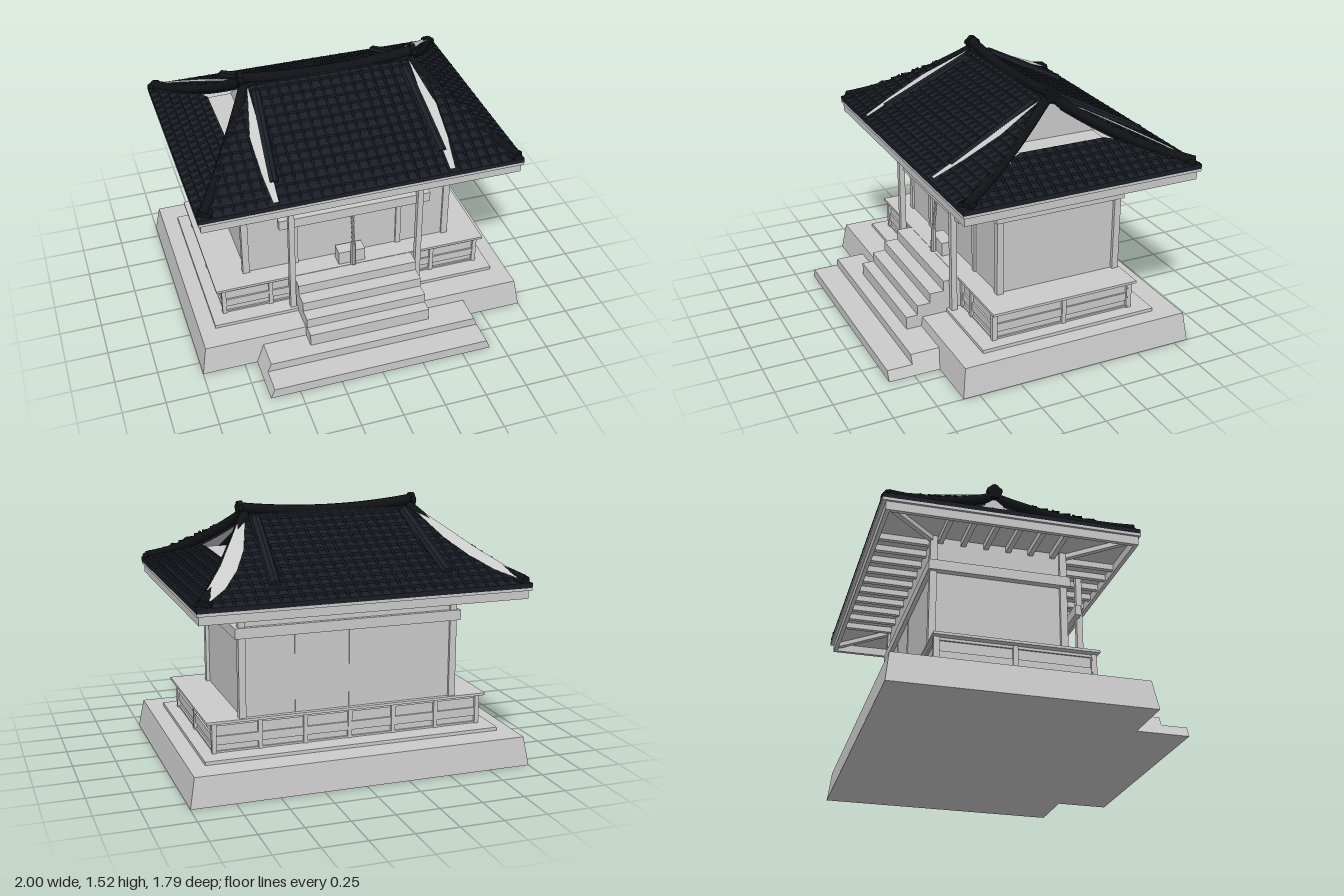
import * as THREE from 'three';
import { mergeGeometries } from 'three/addons/utils/BufferGeometryUtils.js';

const grey = new THREE.MeshStandardMaterial({ color: 0xcccccc, side: THREE.DoubleSide, flatShading: true });
const tile = new THREE.MeshStandardMaterial({ color: 0x1a1e26, side: THREE.DoubleSide, flatShading: true });
const dark = new THREE.MeshStandardMaterial({ color: 0x101215 });
const V = (x, y, z) => new THREE.Vector3(x, y, z);

// Box given by its limits on each axis
function box(x0, x1, y0, y1, z0, z1) {
  return new THREE.BoxGeometry(x1 - x0, y1 - y0, z1 - z0)
    .translate((x0 + x1) / 2, (y0 + y1) / 2, (z0 + z1) / 2);
}
// Round bar between two points
function bar(a, b, r, sides = 8) {
  const dir = b.clone().sub(a);
  const q = new THREE.Quaternion().setFromUnitVectors(V(0, 1, 0), dir.clone().normalize());
  const mid = a.clone().add(b).multiplyScalar(0.5);
  return new THREE.CylinderGeometry(r, r, dir.length(), sides).applyQuaternion(q).translate(mid.x, mid.y, mid.z);
}
// Flat polygons, each fanned from its first corner
function polys(list) {
  const p = [];
  for (const c of list)
    for (let i = 1; i < c.length - 1; i++) for (const v of [c[0], c[i], c[i + 1]]) p.push(v.x, v.y, v.z);
  const g = new THREE.BufferGeometry();
  g.setAttribute('position', new THREE.Float32BufferAttribute(p, 3));
  g.computeVertexNormals();
  return g;
}
function add(parent, name, geos, mat = grey) {
  const m = new THREE.Mesh(Array.isArray(geos) ? mergeGeometries(geos) : geos, mat);
  m.name = name;
  parent.add(m);
}

function addBase(g) {
  // Plinth with battered sides
  const plinth = box(-1, 1, 0, 0.17, -0.84, 0.595);
  const p = plinth.attributes.position;
  for (let i = 0; i < p.count; i++) if (p.getY(i) > 0.1) {
    p.setX(i, p.getX(i) * 0.97);
    p.setZ(i, p.getZ(i) > 0 ? 0.57 : -0.82);
  }
  add(g, 'plinth', plinth);
  add(g, 'plinthSlab', box(-0.875, 0.875, 0.17, 0.19, -0.67, 0.42));

  // Wide lower steps with sloping ends
  const prof = new THREE.Shape([[-0.55, 0], [-0.9, 0], [-0.9, 0.06], [-0.75, 0.06], [-0.75, 0.113], [-0.55, 0.113]]
    .map(a => new THREE.Vector2(...a)));
  const wide = new THREE.ExtrudeGeometry(prof, { depth: 1.35, bevelEnabled: false })
    .rotateY(Math.PI / 2).translate(-0.675, 0, 0);
  const w = wide.attributes.position;
  for (let i = 0; i < w.count; i++) w.setX(i, w.getX(i) * (1 - 0.6 * w.getY(i)));
  wide.computeVertexNormals();
  add(g, 'lowerSteps', wide);

  // Upper stair
  add(g, 'stair', [[0.67, 0.19], [0.6, 0.25], [0.52, 0.31], [0.435, 0.372]]
    .map(([z, y]) => box(-0.368, 0.368, 0.1, y, 0.2, z)));
}

function addDeck(g) {
  add(g, 'deckFloor', box(-0.84, 0.84, 0.36, 0.375, -0.572, 0.34));
  add(g, 'deckCore', box(-0.79, 0.79, 0.19, 0.365, -0.545, 0.315));
  const frame = [];
  for (const [y0, y1] of [[0.19, 0.2], [0.235, 0.285], [0.345, 0.36]])
    frame.push(box(-0.8, 0.8, y0, y1, -0.555, 0.325));
  for (const x of [-0.795, -0.51, -0.385, 0.385, 0.51, 0.795])
    frame.push(box(x - 0.012, x + 0.012, 0.19, 0.36, 0.3, 0.332));
  for (let i = 0; i < 7; i++) {
    const x = -0.795 + i * 1.59 / 6;
    frame.push(box(x - 0.012, x + 0.012, 0.19, 0.36, -0.562, -0.53));
  }
  for (const s of [-1, 1]) for (const z of [-0.55, -0.12, 0.318])
    frame.push(box(s * 0.795 - 0.013, s * 0.795 + 0.013, 0.19, 0.36, z - 0.013, z + 0.013));
  add(g, 'deckFrame', frame);
}

function addHall(g) {
  add(g, 'walls', box(-0.63, 0.63, 0.37, 1.06, -0.545, 0.215));
  const posts = [];
  for (const x of [-0.63, 0.63]) for (const z of [-0.54, 0.208])
    posts.push(box(x - 0.02, x + 0.02, 0.37, 1.06, z - 0.02, z + 0.02));
  for (const x of [-0.325, 0.325]) posts.push(box(x - 0.016, x + 0.016, 0.37, 1.06, 0.2, 0.228));
  add(g, 'wallPosts', posts);
  add(g, 'wallSeams', [0, 0.32].map(x => box(x - 0.004, x + 0.004, 0.37, 0.83, -0.55, -0.54)));
  add(g, 'tieBeam', box(-0.67, 0.67, 0.83, 0.89, -0.57, 0.242));

  // Porch
  add(g, 'porchPosts', [-1, 1].map(s => box(s * 0.392 - 0.017, s * 0.392 + 0.017, 0.19, 1.06, 0.367, 0.402)));
  add(g, 'porchBeam', box(-0.46, 0.46, 0.77, 0.83, 0.342, 0.378));
  add(g, 'offeringBox', box(-0.082, 0.082, 0.37, 0.46, 0.24, 0.32));

  // Bells, bracket and twisted rope
  add(g, 'bells', [-0.035, 0.035].map(x => new THREE.SphereGeometry(0.031, 16, 10).translate(x, 0.995, 0.283)));
  add(g, 'bellBracket', bar(V(0, 0.89, 0.235), V(0, 1.02, 0.285), 0.005));
  const strands = [0, Math.PI].map(ph => {
    const pts = [];
    for (let i = 0; i <= 90; i++) {
      const t = i / 90, a = t * Math.PI * 14 + ph;
      pts.push(V(0.005 * Math.cos(a), 0.99 - 0.48 * t, 0.29 + 0.05 * t + 0.005 * Math.sin(a)));
    }
    return new THREE.TubeGeometry(new THREE.CatmullRomCurve3(pts), 130, 0.0065, 6);
  });
  add(g, 'bellRope', strands);
  add(g, 'ropeTassel', bar(V(0, 0.53, 0.338), V(0, 0.38, 0.343), 0.016, 10));
}

// Roof slopes share a local frame: x across, z down the slope, t from ridge (0) to eave (1)
const mainSlope = {
  t0: 0, rows: 13, half: t => 0.5 + 0.45 * t,
  at: (x, t, lift = 0) => V(x, 1.44 - 0.365 * t + lift, 0.725 * t)
};
const sideSlope = {
  t0: 0.36, rows: 6, half: t => 0.725 * t,
  at: (x, t, lift = 0) => V(x, 1.075 + 0.235 * (1 - t) + lift, 0.5 + 0.45 * t)
};

function addSlope(g, s, angle, name, patch) {
  const slope = new THREE.Group();
  slope.name = name;
  slope.rotation.y = angle;
  g.add(slope);
  const row = (t0, t1, l0, l1) => [s.at(-s.half(t0), t0, l0), s.at(-s.half(t1), t1, l1),
    s.at(s.half(t1), t1, l1), s.at(s.half(t0), t0, l0)];
  add(slope, 'roofBoards', polys([row(s.t0, 1, -0.01, -0.01)]));
  // Overlapping tile courses with a lip at each lower edge
  const courses = [], dt = (1 - s.t0) / s.rows;
  for (let i = 0; i < s.rows; i++) {
    const a = s.t0 + i * dt, b = a + dt, w = s.half(b);
    courses.push(row(a, b, 0.002, 0.018),
      [s.at(-w, b, 0.018), s.at(-w, b, -0.01), s.at(w, b, -0.01), s.at(w, b, 0.018)]);
  }
  add(slope, 'tileCourses', polys(courses), tile);
  // Low ribs between the tile columns, cut off at the hips
  const ribs = [];
  for (let k = -15; k <= 15; k++) {
    const x = k * 0.062;
    let t = s.t0 + 0.03;
    while (t < 1 && s.half(t) < Math.abs(x)) t += 0.01;
    if (t < 0.97) ribs.push(bar(s.at(x, t, 0.011), s.at(x, 0.995, 0.011), 0.009, 6));
  }
  add(slope, 'tileRibs', ribs, tile);
  // Bare boards showing beside the hips
  if (patch) add(slope, 'bareBoards', polys([1, -1].flatMap(m =>
    patch.map(c => c.map(([x, t]) => s.at(m * x, t, 0.025))))));
}

function addRoof(g) {
  const roof = new THREE.Group();
  roof.name = 'roof';
  roof.position.z = -0.16;
  g.add(roof);
  addSlope(roof, mainSlope, 0, 'frontSlope',
    [[[0.485, 0.03], [0.515, 0.3], [0.555, 0.45], [0.55, 0.75], [0.53, 0.98], [0.5, 0.98], [0.49, 0.6]]]);
  addSlope(roof, mainSlope, Math.PI, 'backSlope',
    [[[0.5, 0.06], [0.59, 0.45], [0.75, 0.6], [0.53, 0.06]],
      [[0.59, 0.45], [0.67, 0.66], [0.85, 0.8], [0.75, 0.6]],
      [[0.67, 0.66], [0.77, 0.84], [0.87, 0.95], [0.92, 0.95], [0.85, 0.8]]]);
  addSlope(roof, sideSlope, Math.PI / 2, 'rightSlope');
  addSlope(roof, sideSlope, -Math.PI / 2, 'leftSlope');

  // Main ridge, sagging between upturned ends
  const ridge = new THREE.QuadraticBezierCurve3(V(-0.53, 1.482, 0), V(0, 1.41, 0), V(0.53, 1.482, 0));
  add(roof, 'ridge', new THREE.TubeGeometry(ridge, 24, 0.03, 10), dark);
  add(roof, 'ridgeBed', box(-0.5, 0.5, 1.41, 1.445, -0.03, 0.03), tile);

  for (const s of [-1, 1]) {
    // Ridge end ornament
    add(roof, 'ridgeEnd', [[1.49, 0, 0.029], [1.478, 0.027, 0.02], [1.478, -0.027, 0.02]].map(([y, z, r]) =>
      bar(V(s * 0.507, y, z), V(s * 0.537, y, z), r, 12))
      .concat(box(s * 0.522 - 0.015, s * 0.522 + 0.015, 1.43, 1.485, -0.035, 0.035)), dark);
    // Recessed gable over a flat ledge
    const x = s * 0.52;
    add(roof, 'gable', polys([[V(x, 1.22, 0.28), V(x, 1.42, 0.01), V(x, 1.42, -0.01), V(x, 1.22, -0.28)],
      [V(x, 1.22, 0.27), V(x, 1.22, -0.27), V(s * 0.67, 1.222, -0.26), V(s * 0.67, 1.222, 0.26)]]));
    for (const f of [-1, 1]) {
      // Hip ridge: sagging round cap over a bed that closes the roof edge
      const hip = new THREE.QuadraticBezierCurve3(
        V(s * 0.5, 1.445, f * 0.02), V(s * 0.71, 1.2, f * 0.36), V(s * 0.915, 1.105, f * 0.695));
      add(roof, 'hipRidge', new THREE.TubeGeometry(hip, 16, 0.029, 8), dark);
      const pts = hip.getPoints(12), bed = [];
      const shift = (k, d) => pts[k].clone().add(V(0, d * Math.min(1, (12 - k) / 4), 0));
      for (let i = 0; i < 12; i++) bed.push([shift(i, 0), shift(i + 1, 0), shift(i + 1, -0.045), shift(i, -0.045)]);
      add(roof, 'hipBed', polys(bed), tile);
      // Corner end tiles
      add(roof, 'hipEnd', [[0, 0.029], [0.02, 0.02], [-0.02, 0.02]].map(([o, r]) =>
        bar(V(s * (0.893 + o), 1.103, f * (0.665 - o * 0.6)), V(s * (0.915 + o), 1.103, f * (0.705 - o * 0.6)), r, 10)), dark);
      // Descending ridge on the main slopes
      const lift = f < 0 ? 0.012 : 0;
      add(roof, 'descendingRidge', bar(V(s * 0.45, 1.41 + lift, f * 0.07), V(s * 0.495, 1.145 + lift, f * 0.59), 0.032), tile);
    }
  }

  // Eaves: soffit, fascia and rafters
  add(roof, 'soffit', box(-0.95, 0.95, 1.05, 1.066, -0.725, 0.725));
  const fascia = [], rafters = [];
  for (const s of [-1, 1]) {
    fascia.push(box(s * 0.925 - 0.012, s * 0.925 + 0.012, 1, 1.055, -0.705, 0.715));
    const zf = s > 0 ? 0.703 : -0.693;
    fascia.push(box(-0.937, 0.937, 1, 1.055, zf - 0.012, zf + 0.012));
    for (let i = 0; i < 10; i++) {
      const x = -0.585 + i * 0.13;
      rafters.push(box(x - 0.014, x + 0.014, 1.015, 1.05, s > 0 ? 0.35 : -0.69, s > 0 ? 0.7 : -0.37));
    }
    for (let i = 0; i < 6; i++) {
      const z = -0.34 + i * 0.13;
      rafters.push(box(s * 0.775 - 0.145, s * 0.775 + 0.145, 1.015, 1.05, z - 0.014, z + 0.014));
    }
    for (const f of [-1, 1]) rafters.push(bar(V(s * 0.62, 1.035, f * 0.375), V(s * 0.92, 1.035, f * 0.69), 0.02, 4));
  }
  add(roof, 'fascia', fascia);
  add(roof, 'rafters', rafters);
}

export function createModel() {
  const g = new THREE.Group();
  g.name = 'shrineHall';
  addBase(g);
  addDeck(g);
  addHall(g);
  addRoof(g);
  return g;
}
